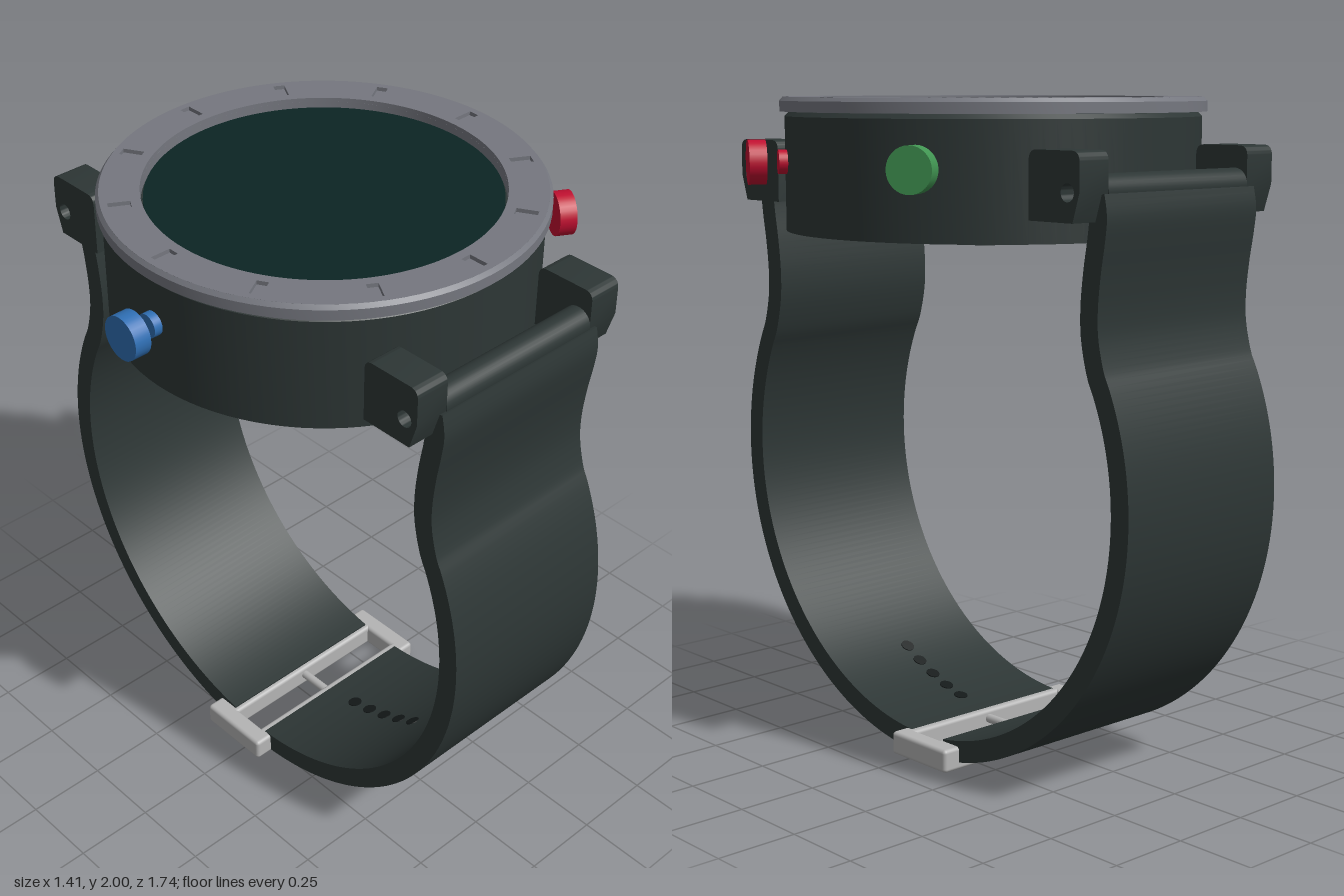
import * as THREE from 'three';
import { toCreasedNormals } from 'three/addons/utils/BufferGeometryUtils.js';
import { RoundedBoxGeometry } from 'three/addons/geometries/RoundedBoxGeometry.js';

const material = (name, color) => {
  const m = new THREE.MeshStandardMaterial({ color });
  m.name = name;
  return m;
};

export function createModel() {
  const dark = material('dark rubber', 0x2d3635);
  const grey = material('bezel grey', 0x75777f);
  const glass = material('dark glass', 0x0c2423);
  const silver = material('silver', 0xb4b4b4);
  const red = material('red', 0xc00f30);
  const green = material('green', 0x419552);
  const blue = material('blue', 0x2f6fb4);
  const black = material('hole black', 0x141919);

  const model = new THREE.Group();
  model.name = 'wristwatch';
  const body = new THREE.Group(); // everything is built about the case axis
  body.name = 'watch';
  body.position.x = 0.03;
  model.add(body);

  const add = (name, geo, mat, parent = body) => {
    const mesh = new THREE.Mesh(geo, mat);
    mesh.name = name;
    parent.add(mesh);
    return mesh;
  };
  const lathe = (pts) => toCreasedNormals(
    new THREE.LatheGeometry(pts.map(([r, y]) => new THREE.Vector2(r, y)), 96), 0.5);
  const disc = (r, h, seg = 32) => new THREE.CylinderGeometry(r, r, h, seg);
  // side profile drawn in (z, y), extruded symmetrically across x
  const sideExtrude = (shape, width) => {
    const g = new THREE.ExtrudeGeometry(shape, { depth: width, bevelEnabled: false, curveSegments: 16 });
    g.translate(0, 0, -width / 2).rotateY(-Math.PI / 2);
    return toCreasedNormals(g, 0.6);
  };

  // Case and screen
  add('case', lathe([[0, 1.605], [0.625, 1.605], [0.625, 1.943], [0.612, 1.956], [0, 1.956]]), dark);
  add('screen', disc(0.508, 0.02, 96), glass).position.y = 1.962;

  // Bezel with twelve recessed hour slots
  add('bezelBase', lathe([[0.515, 1.957], [0.64, 1.957], [0.64, 1.988], [0.63, 2],
    [0.628, 1.988], [0.515, 1.988], [0.515, 1.957]]), grey);
  const ring = new THREE.Shape().absarc(0, 0, 0.63, 0, Math.PI * 2);
  ring.holes.push(new THREE.Path().absarc(0, 0, 0.515, 0, Math.PI * 2, true));
  for (let i = 0; i < 12; i++) {
    const a = i * Math.PI / 6;
    const corners = [[0.545, -0.017], [0.545, 0.017], [0.609, 0.017], [0.609, -0.017]];
    ring.holes.push(new THREE.Path(corners.map(([r, t]) => new THREE.Vector2(
      r * Math.cos(a) - t * Math.sin(a), r * Math.sin(a) + t * Math.cos(a)))));
  }
  const ringGeo = new THREE.ExtrudeGeometry(ring, { depth: 0.012, bevelEnabled: false, curveSegments: 96 });
  ringGeo.rotateX(-Math.PI / 2).translate(0, 1.988, 0);
  add('bezelTop', toCreasedNormals(ringGeo, 0.5), grey);

  // Crown and push buttons, each a stem and a cap
  const pusher = (name, angle, mat) => {
    const g = new THREE.Group();
    g.name = name;
    g.position.y = 1.81;
    g.rotation.y = angle;
    body.add(g);
    add(name + 'Stem', disc(0.036, 0.06).rotateZ(Math.PI / 2).translate(0.62, 0, 0), mat, g);
    add(name + 'Cap', disc(0.066, 0.052).rotateZ(Math.PI / 2).translate(0.713, 0, 0), mat, g);
  };
  pusher('crown', Math.PI, blue);
  pusher('upperButton', Math.PI / 6, green);
  pusher('lowerButton', -Math.PI / 6, red);

  // Underside: sensor lens, two lights and four screws
  add('sensorLens', lathe([[0, 1.584], [0.155, 1.586], [0.165, 1.595], [0.165, 1.61]]), glass);
  for (const s of [-1, 1]) {
    add('sensorLight', disc(0.038, 0.01), green).position.set(s * 0.115, 1.602, 0.345);
    for (const t of [-1, 1]) add('caseScrew', disc(0.034, 0.016), dark).position.set(s * 0.34, 1.602, t * 0.34);
  }

  // Lug outline with a pin hole
  const lugShape = new THREE.Shape();
  lugShape.moveTo(0.567, 1.675);
  lugShape.lineTo(0.735, 1.675);
  lugShape.lineTo(0.76, 1.755);
  lugShape.lineTo(0.76, 1.835);
  lugShape.quadraticCurveTo(0.76, 1.865, 0.73, 1.865);
  lugShape.lineTo(0.597, 1.865);
  lugShape.quadraticCurveTo(0.567, 1.865, 0.567, 1.835);
  lugShape.holes.push(new THREE.Path().absarc(0.715, 1.755, 0.025, 0, Math.PI * 2, true));

  // Strap band: circular arc, then an S-bend up to the pin
  const cy = 0.875;
  const strapShape = (startAngle) => {
    const path = [];
    for (let i = 0; i <= 40; i++) {
      const a = startAngle + (2.05 - startAngle) * i / 40;
      path.push(new THREE.Vector3(0.836 * Math.sin(a), cy - 0.836 * Math.cos(a), 0));
    }
    const bend = [[0.717, 1.36], [0.714, 1.44], [0.724, 1.54], [0.739, 1.63], [0.745, 1.69], [0.735, 1.745]];
    const curve = new THREE.CatmullRomCurve3([...path, ...bend.map(([z, y]) => new THREE.Vector3(z, y, 0))]);
    const outer = [], inner = [];
    for (let i = 0; i <= 110; i++) {
      const p = curve.getPointAt(i / 110), t = curve.getTangentAt(i / 110), h = 0.033;
      outer.push(new THREE.Vector2(p.x + t.y * h, p.y - t.x * h));
      inner.unshift(new THREE.Vector2(p.x - t.y * h, p.y + t.x * h));
    }
    return new THREE.Shape([...outer, ...inner]);
  };

  // Front and back strap halves with lugs and spring pins
  [['front', 0, 0.055], ['back', Math.PI, 0.13]].forEach(([side, turn, startAngle]) => {
    const half = new THREE.Group();
    half.name = side + 'StrapHalf';
    half.rotation.y = turn;
    body.add(half);
    add(side + 'Strap', sideExtrude(strapShape(startAngle), 0.605), dark, half);
    add(side + 'StrapLoop', disc(0.047, 0.56).rotateZ(Math.PI / 2), dark, half).position.set(0, 1.755, 0.715);
    add(side + 'Pin', disc(0.025, 0.6).rotateZ(Math.PI / 2), silver, half).position.set(0, 1.755, 0.715);
    for (const s of [-1, 1]) add(side + 'Lug', sideExtrude(lugShape, 0.108), dark, half).position.x = s * 0.334;
  });

  // Row of strap holes
  for (let i = 0; i < 5; i++) {
    const a = 0.2 + i * 0.09;
    const hole = add('strapHole', disc(0.022, 0.072, 20), black);
    hole.position.set(0, cy - 0.836 * Math.cos(a), 0.836 * Math.sin(a));
    hole.rotation.x = -a;
  }

  // Buckle frame and prong
  const bar = (name, w, d, x, z) =>
    add(name, new RoundedBoxGeometry(w, 0.072, d, 3, 0.012), silver).position.set(x, 0.037, z);
  for (const s of [-1, 1]) bar('buckleSide', 0.06, 0.25, s * 0.33, -0.053);
  bar('buckleFrontBar', 0.7, 0.05, 0, 0.047);
  bar('buckleBackBar', 0.7, 0.09, 0, -0.133);
  add('buckleProng', disc(0.014, 0.14, 16).rotateX(Math.PI / 2), silver).position.set(0, 0.045, -0.03);

  return model;
}
